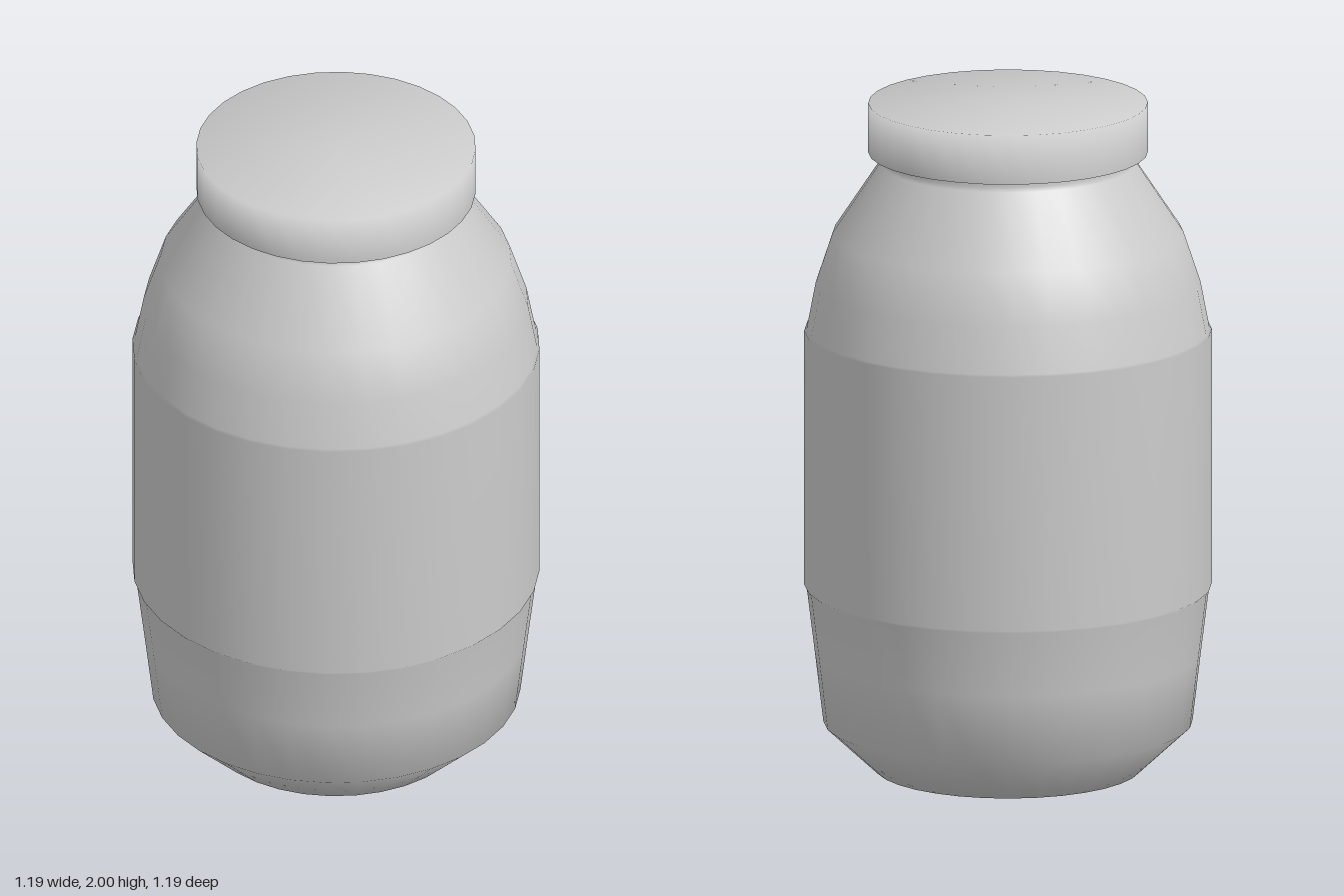
import * as THREE from 'three';

const SIDES = 32;

// Turns a list of [radius, height] points into a smooth round part
function turned(name, profile) {
  const points = profile.map(([r, y]) => new THREE.Vector2(r, y));
  const material = new THREE.MeshStandardMaterial({ color: 0xcccccc });
  const mesh = new THREE.Mesh(new THREE.LatheGeometry(points, SIDES), material);
  mesh.name = name;
  return mesh;
}

export function createModel() {
  const model = new THREE.Group();
  model.name = 'jar';

  // Bevelled base, flared foot, raised label band, rounded shoulder and neck
  model.add(turned('body', [
    [0, 0], [0.39, 0],
    [0.54, 0.14], [0.565, 0.35], [0.589, 0.545],
    [0.596, 0.553], [0.596, 1.317],
    [0.589, 1.323], [0.563, 1.46], [0.513, 1.61],
    [0.374, 1.82], [0.37, 1.835], [0.37, 1.86],
  ]));

  // Flat lid; the doubled point keeps its lower rim sharp
  model.add(turned('lid', [
    [0.36, 1.852], [0.409, 1.852], [0.409, 1.852],
    [0.409, 2], [0, 2],
  ]));

  return model;
}
